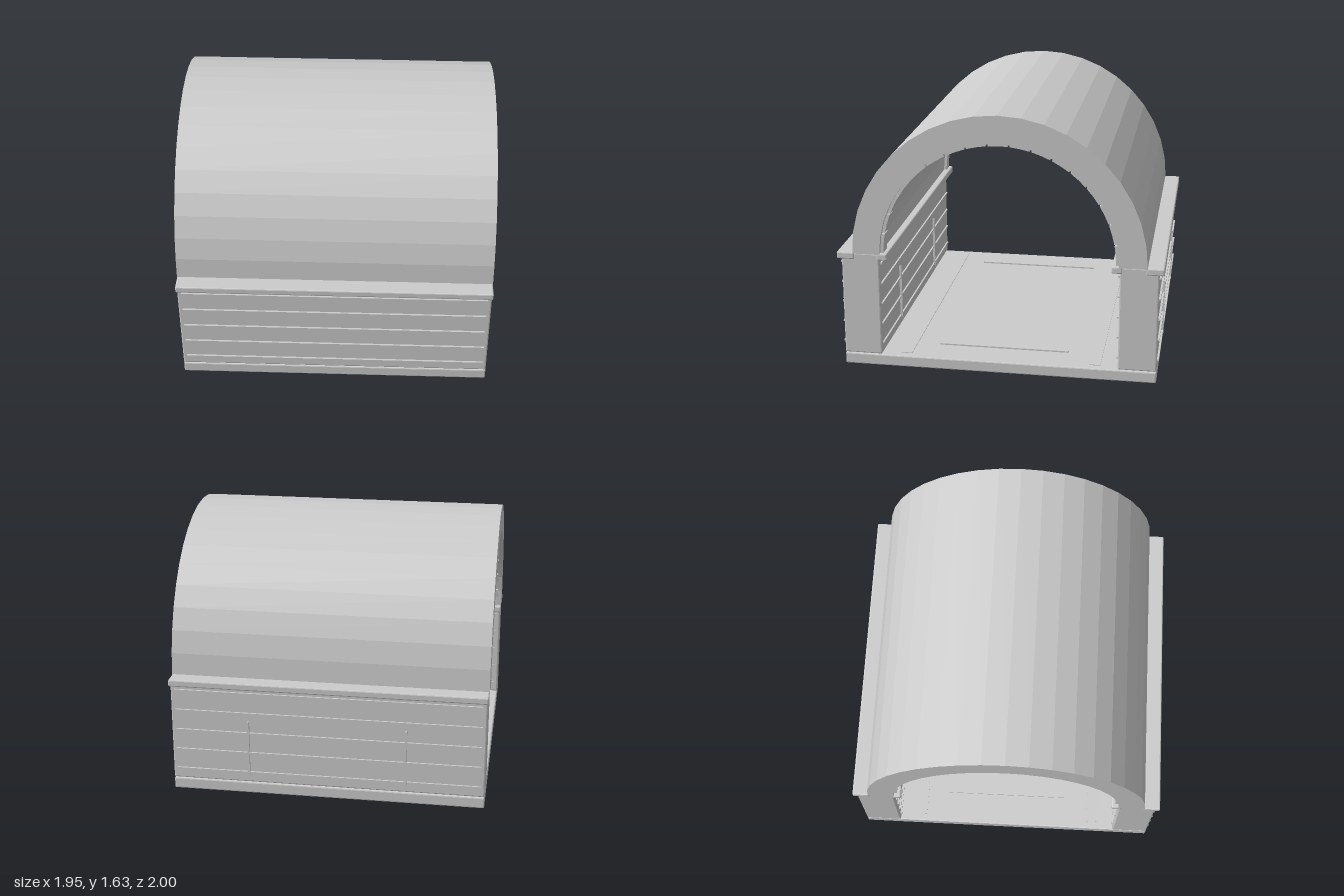
import * as THREE from 'three';
import { RoundedBoxGeometry } from 'three/addons/geometries/RoundedBoxGeometry.js';

const material = new THREE.MeshStandardMaterial({ color: 0xcccccc, flatShading: true });

function add(parent, name, geometry) {
  const mesh = new THREE.Mesh(geometry, material);
  mesh.name = name;
  parent.add(mesh);
  return mesh;
}

// Box given by its limits on each axis; bevel > 0 softens the edges
function block(parent, name, [x0, x1], [y0, y1], [z0, z1], bevel = 0) {
  const size = [x1 - x0, y1 - y0, z1 - z0];
  const geometry = bevel
    ? new RoundedBoxGeometry(...size, 1, bevel)
    : new THREE.BoxGeometry(...size);
  const mesh = add(parent, name, geometry);
  mesh.position.set((x0 + x1) / 2, (y0 + y1) / 2, (z0 + z1) / 2);
  return mesh;
}

// Half-ring slice in the z-y plane, extruded along x and centred on x = 0
function arcGeometry(inner, outer, start, end, width, curveSegments) {
  const shape = new THREE.Shape();
  shape.absarc(0, 0, outer, start, end, false);
  shape.absarc(0, 0, inner, end, start, true);
  shape.closePath();
  const geometry = new THREE.ExtrudeGeometry(shape, { depth: width, bevelEnabled: false, curveSegments });
  geometry.translate(0, 0, -width / 2);
  geometry.rotateY(Math.PI / 2);
  return geometry;
}

export function createModel() {
  const model = new THREE.Group();
  model.name = 'vaultedTunnel';
  const springY = 0.735;
  const length = [-0.97, 0.97];

  // Floor slab with shallow runners and cross strips
  block(model, 'floorSlab', length, [0, 0.072], [-0.97, 0.97], 0.008);
  for (const s of [-1, 1]) {
    block(model, 'floorRunner', [-0.92, 0.92], [0.065, 0.076], [s * 0.59 - 0.035, s * 0.59 + 0.035]);
    block(model, 'floorStrip', [s * 0.75 - 0.012, s * 0.75 + 0.012], [0.065, 0.081], [-0.41, 0.41]);
  }

  // Side walls with mouldings and masonry joints
  for (const s of [-1, 1]) {
    const wall = new THREE.Group();
    wall.name = s > 0 ? 'frontWall' : 'backWall';
    model.add(wall);
    const span = (a, b) => [Math.min(s * a, s * b), Math.max(s * a, s * b)];

    block(wall, 'wallBody', length, [0.076, 0.737], span(0.735, 0.97), 0.008);
    block(wall, 'outerMoulding', [-0.975, 0.975], [0.697, 0.741], span(0.89, 1), 0.008);
    block(wall, 'innerMoulding', [-0.975, 0.975], [0.697, 0.741], span(0.685, 0.75), 0.008);

    // Horizontal courses on both faces
    for (let i = 0; i < 5; i++) {
      const y = 0.145 + i * 0.131;
      block(wall, 'outerCourse', [-0.945, 0.945], [y - 0.005, y + 0.005], span(0.96, 0.982));
      block(wall, 'innerCourse', [-0.945, 0.945], [y - 0.005, y + 0.005], span(0.724, 0.745));
    }

    // Upright joints on the rearward face of each wall
    const face = s > 0 ? 0.735 : -0.97;
    for (const x of [-0.487, 0.487]) {
      block(wall, 'uprightJoint', [x - 0.006, x + 0.006], [0.13, 0.485], [face - 0.015, face + 0.01]);
    }
  }

  // Barrel vault
  const vault = add(model, 'vault', arcGeometry(0.73, 0.9, 0, Math.PI, 1.95, 10));
  vault.position.y = springY;

  // Rings of thin stones lining the vault at both ends
  const stones = 17, step = Math.PI / stones, gap = 0.008;
  for (const s of [-1, 1]) {
    const ring = new THREE.Group();
    ring.name = s > 0 ? 'leftLiningRing' : 'rightLiningRing';
    ring.position.set(s * 0.91, springY, 0);
    model.add(ring);
    for (let i = 0; i < stones; i++) {
      add(ring, 'liningStone', arcGeometry(0.71, 0.735, i * step + gap, (i + 1) * step - gap, 0.08, 1));
    }
  }
  return model;
}
